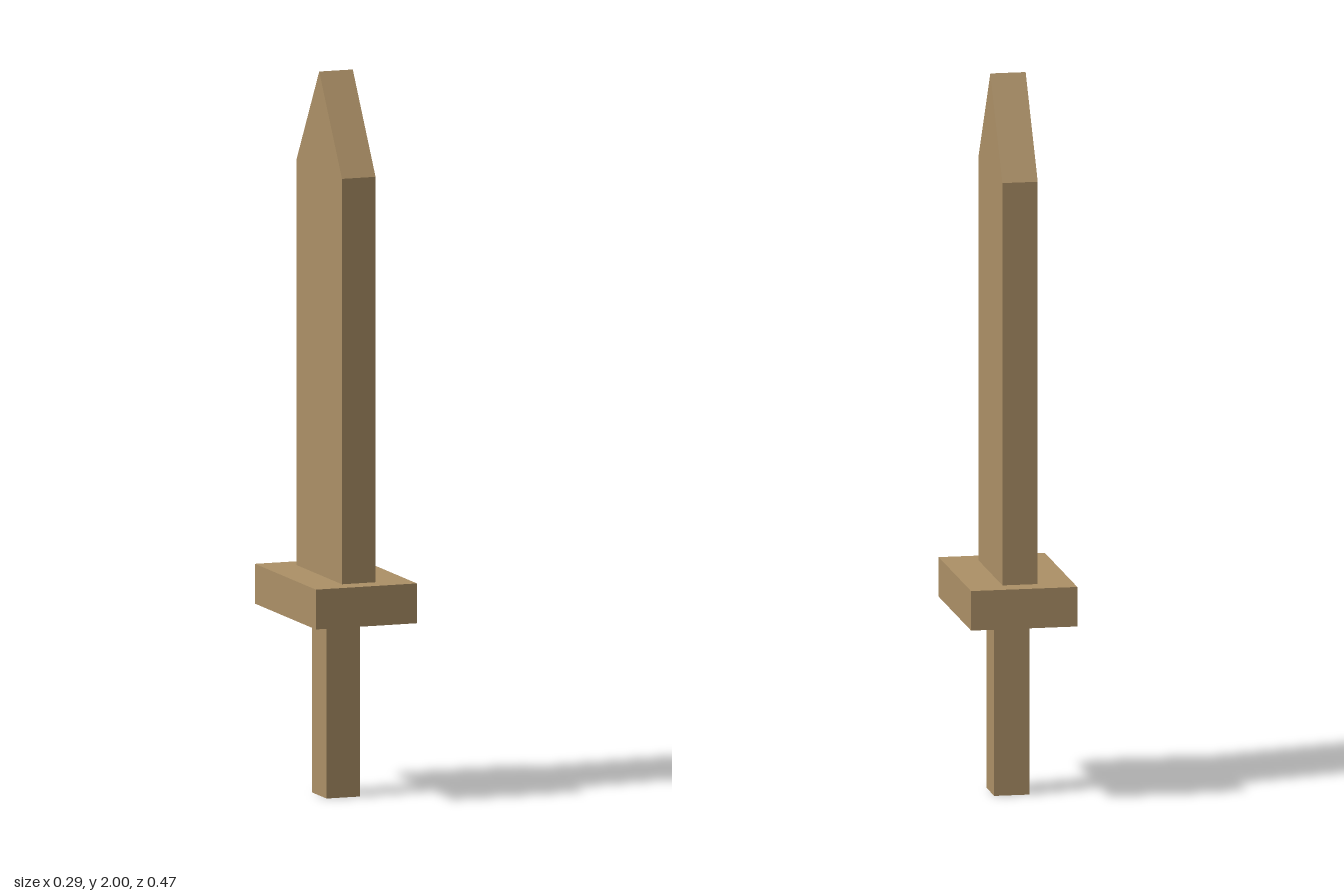
import * as THREE from 'three';

export function createModel() {
  const group = new THREE.Group();
  const wood = new THREE.MeshStandardMaterial({ color: 0xad9167 });
  wood.name = 'wood';

  const add = (name, geometry) => {
    const mesh = new THREE.Mesh(geometry, wood);
    mesh.name = name;
    group.add(mesh);
    return mesh;
  };

  // Grip and crossguard: plain blocks
  add('grip', new THREE.BoxGeometry(0.098, 0.5, 0.112)).position.y = 0.25;
  add('crossguard', new THREE.BoxGeometry(0.295, 0.11, 0.466)).position.y = 0.555;

  // Blade: pointed outline in the z-y plane, extruded across x
  const half = 0.174, thickness = 0.098;
  const outline = new THREE.Shape([
    new THREE.Vector2(-half, 0.61),
    new THREE.Vector2(half, 0.61),
    new THREE.Vector2(half, 1.73),
    new THREE.Vector2(0, 2),
    new THREE.Vector2(-half, 1.73),
  ]);
  const blade = new THREE.ExtrudeGeometry(outline, { depth: thickness, bevelEnabled: false });
  blade.translate(0, 0, -thickness / 2);
  blade.rotateY(Math.PI / 2);
  add('blade', blade);

  return group;
}
